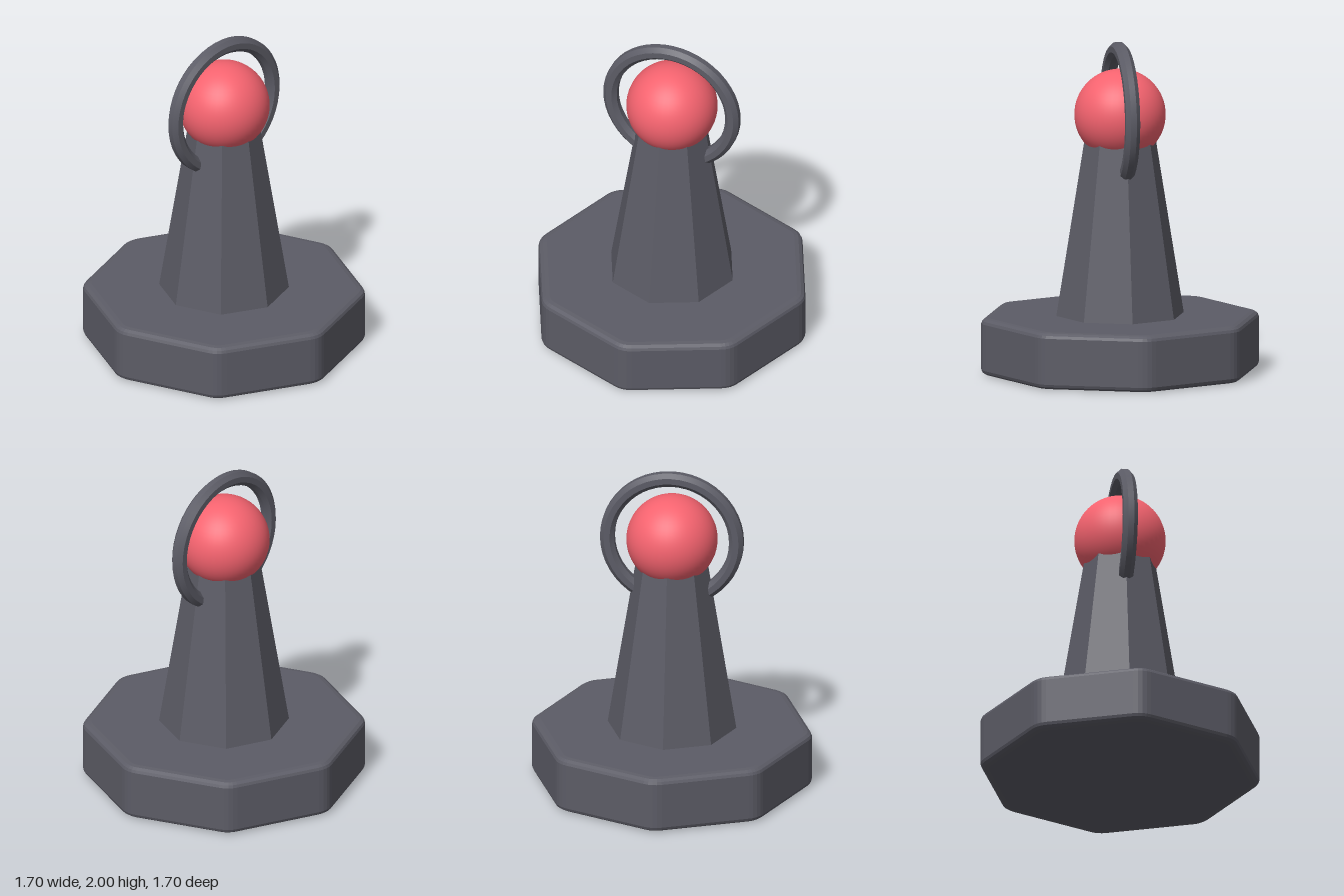
import * as THREE from 'three';
import { toCreasedNormals } from 'three/addons/utils/BufferGeometryUtils.js';

const grey = () => new THREE.MeshStandardMaterial({ color: 0x5c5c66 });

function part(name, geometry, material, y = 0) {
  const mesh = new THREE.Mesh(geometry, material);
  mesh.name = name;
  mesh.position.y = y;
  return mesh;
}

// Octagon with corners on the axes, each corner softened by a small curve
function softOctagon(radius, cut) {
  const corners = Array.from({ length: 8 }, (_, i) =>
    new THREE.Vector2(Math.cos(i * Math.PI / 4), Math.sin(i * Math.PI / 4)).multiplyScalar(radius));
  const toward = (a, b) => b.clone().sub(a).setLength(cut).add(a);
  const shape = new THREE.Shape();
  corners.forEach((c, i) => {
    const p = toward(c, corners[(i + 7) % 8]);
    const q = toward(c, corners[(i + 1) % 8]);
    if (i === 0) shape.moveTo(p.x, p.y);
    else shape.lineTo(p.x, p.y);
    shape.quadraticCurveTo(c.x, c.y, q.x, q.y);
  });
  shape.closePath();
  return shape;
}

export function createModel() {
  const model = new THREE.Group();
  model.name = 'orbPedestal';
  const ballY = 1.565;

  // Base slab with bevelled rims
  const height = 0.347, bevel = 0.033;
  const base = new THREE.ExtrudeGeometry(softOctagon(0.86, 0.06), {
    depth: height - 2 * bevel, curveSegments: 4,
    bevelThickness: bevel, bevelSize: 0.05, bevelOffset: -0.05, bevelSegments: 3,
  });
  base.rotateX(-Math.PI / 2);
  model.add(part('base', base, grey(), bevel));

  // Tapered eight-sided column, its top buried in the ball
  const column = new THREE.CylinderGeometry(0.205, 0.392, 1.155, 8);
  const columnMaterial = grey();
  columnMaterial.flatShading = true;
  model.add(part('column', column, columnMaterial, 0.34 + 1.155 / 2));

  // Ball
  model.add(part('ball', new THREE.SphereGeometry(0.275, 48, 32),
    new THREE.MeshStandardMaterial({ color: 0xf5636f }), ballY));

  // Upright ring of octagonal section, its lower arc passing through the column
  const section = Array.from({ length: 9 }, (_, i) => {
    const a = (i + 0.5) * Math.PI / 4;
    return new THREE.Vector2(0.392 + 0.047 * Math.cos(a), 0.047 * Math.sin(a));
  });
  const ring = new THREE.LatheGeometry(section, 48);
  ring.rotateX(Math.PI / 2);
  model.add(part('ring', toCreasedNormals(ring, Math.PI / 6), grey(), ballY));

  return model;
}
